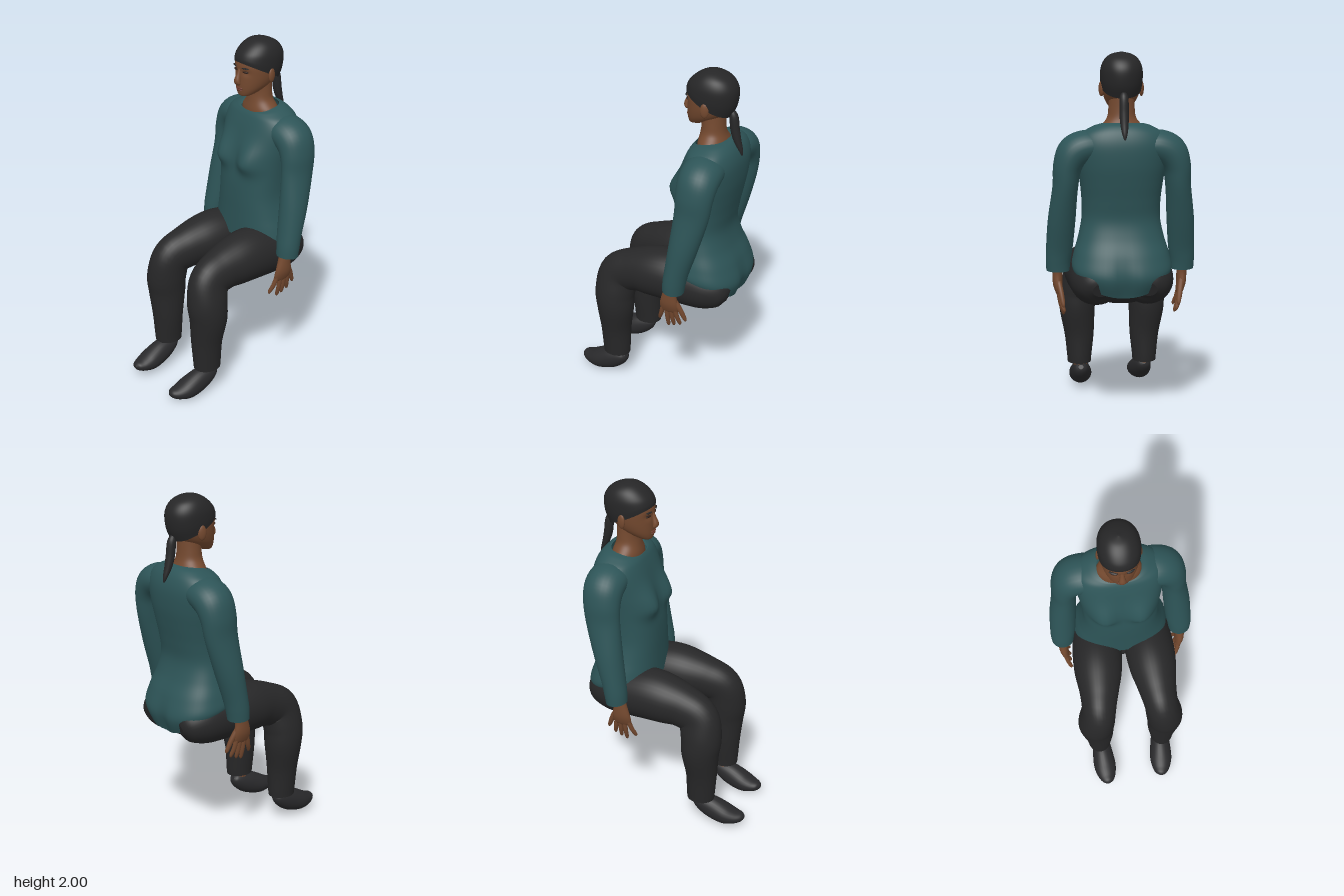
import * as THREE from 'three';

const material = (name, color, extra = {}) => {
  const m = new THREE.MeshStandardMaterial({ color, ...extra });
  m.name = name;
  return m;
};

// Catmull-Rom interpolation over rows of numbers
function smooth(rows, n) {
  const out = [], at = i => rows[Math.min(Math.max(i, 0), rows.length - 1)];
  for (let i = 0; i < rows.length - 1; i++) {
    for (let k = 0; k < n; k++) {
      const t = k / n;
      out.push(rows[i].map((_, c) => {
        const [a, b, d, e] = [at(i - 1)[c], at(i)[c], at(i + 1)[c], at(i + 2)[c]];
        return b + 0.5 * t * (d - a + t * (2 * a - 5 * b + 4 * d - e + t * (3 * (b - d) + e - a)));
      }));
    }
  }
  out.push(rows[rows.length - 1]);
  return out;
}

// Skin a list of closed rings of points; capped ends get a crisp rim
function skin(rings, cap = true) {
  const seg = rings[0].length;
  if (cap) {
    const flat = r => {
      const c = r.reduce((a, p) => a.add(p), new THREE.Vector3()).divideScalar(seg);
      return r.map(() => c);
    };
    const first = rings[0], last = rings[rings.length - 1];
    rings = [flat(first), first, ...rings, last, flat(last)];
  }
  const pos = rings.flat().flatMap(p => [p.x, p.y, p.z]), index = [];
  for (let i = 0; i < rings.length - 1; i++) {
    for (let j = 0; j < seg; j++) {
      const a = i * seg + j, b = i * seg + (j + 1) % seg;
      index.push(a, b, a + seg, b, b + seg, a + seg);
    }
  }
  const g = new THREE.BufferGeometry();
  g.setAttribute('position', new THREE.Float32BufferAttribute(pos, 3));
  g.setIndex(index);
  g.computeVertexNormals();
  return g;
}

// Upright form from rows [yFront, yBack, halfWidth, zFront, zBack, slopePower]
function upright(rows, { e = 2, seg = 56, n = 6, cap = true, shape = () => {} } = {}) {
  const pw = v => Math.sign(v) * Math.abs(v) ** (2 / e);
  return skin(smooth(rows, n).map(([yF, yB, w, zF, zB, p]) =>
    Array.from({ length: seg }, (_, j) => {
      const th = j / seg * Math.PI * 2, c = pw(Math.cos(th));
      const y = yB + (yF - yB) * ((c + 1) / 2) ** p;
      const v = new THREE.Vector3(w * pw(Math.sin(th)), y, (zF + zB) / 2 + c * (zF - zB) / 2);
      shape(v, c);
      return v;
    })), cap);
}

// Limb along a path of rows [x, y, z, radius along ref, other radius]
function limb(rows, ref, side = 1, seg = 28, n = 6) {
  const pts = smooth(rows.map(([x, ...r]) => [x * side, ...r]), n);
  const P = pts.map(r => new THREE.Vector3(r[0], r[1], r[2]));
  return skin(pts.map((r, i) => {
    const T = P[Math.min(i + 1, P.length - 1)].clone().sub(P[Math.max(i - 1, 0)]).normalize();
    const u = ref.clone().addScaledVector(T, -ref.dot(T)).normalize();
    const v = T.clone().cross(u);
    return Array.from({ length: seg }, (_, j) => {
      const th = j / seg * Math.PI * 2;
      return P[i].clone().addScaledVector(u, Math.cos(th) * r[3]).addScaledVector(v, Math.sin(th) * r[4]);
    });
  }));
}

export function createModel() {
  const root = new THREE.Group();
  root.name = 'seatedWoman';
  const X = new THREE.Vector3(1, 0, 0), Z = new THREE.Vector3(0, 0, 1);
  const skinMat = material('skin', 0x74492f), hair = material('hair', 0x262627);
  const shirt = material('shirt', 0x2d5457, { side: THREE.DoubleSide });
  const pants = material('trousers', 0x272728), shoe = material('shoes', 0x29292b);
  const lips = material('lips', 0x68392b), eye = material('eyes', 0x2e1d16);

  const add = (name, geo, mat) => {
    const m = new THREE.Mesh(geo, mat);
    m.name = name;
    root.add(m);
    return m;
  };
  const blob = (name, mat, c, r) => {
    const m = add(name, new THREE.SphereGeometry(1, 28, 18), mat);
    m.position.set(...c);
    m.scale.set(...r);
    return m;
  };
  const bump = (d, s) => Math.exp(-((d / s) ** 2));

  // Sweater body, with bust and seat shaped in
  add('sweaterBody', upright([
    [0.85, 0.69, 0.245, -0.085, -0.465, 0.6],
    [0.88, 0.79, 0.272, -0.085, -0.495, 0.7],
    [0.93, 0.90, 0.26, -0.085, -0.465, 1],
    [1.0, 1.0, 0.235, -0.085, -0.42, 1],
    [1.1, 1.1, 0.215, -0.085, -0.397, 1],
    [1.2, 1.2, 0.215, -0.09, -0.41, 1],
    [1.3, 1.3, 0.225, -0.108, -0.43, 1],
    [1.4, 1.4, 0.24, -0.125, -0.447, 1],
    [1.5, 1.5, 0.25, -0.15, -0.45, 1],
    [1.56, 1.57, 0.225, -0.172, -0.432, 1],
    [1.585, 1.612, 0.165, -0.187, -0.40, 1.5],
    [1.588, 1.625, 0.12, -0.192, -0.365, 2],
  ], {
    e: 2.4, cap: false, shape: (v, c) => {
      if (c > 0) v.z += 0.058 * c * bump(Math.abs(v.x) - 0.115, 0.08) * bump(v.y - 1.315, v.y < 1.315 ? 0.06 : 0.11);
      else v.z -= 0.025 * c * bump(v.x, 0.045) * bump(v.y - 0.74, 0.13);
    },
  }), shirt);

  // Hips joining the thighs
  blob('hips', pants, [0, 0.775, -0.28], [0.25, 0.14, 0.185]);

  for (const s of [1, -1]) {
    const side = s > 0 ? 'left' : 'right';
    // Sleeve
    add(side + 'Sleeve', limb([
      [0.13, 1.5, -0.31, 0.11, 0.08], [0.20, 1.495, -0.313, 0.115, 0.092],
      [0.26, 1.462, -0.315, 0.112, 0.094], [0.295, 1.39, -0.312, 0.106, 0.078],
      [0.307, 1.28, -0.302, 0.098, 0.069], [0.325, 1.1, -0.268, 0.082, 0.075],
      [0.336, 0.95, -0.236, 0.068, 0.073], [0.343, 0.87, -0.222, 0.064, 0.068],
      [0.344, 0.812, -0.216, 0.06, 0.064],
    ], Z, s), shirt);
    // Hand with spread fingers and thumb
    add(side + 'Palm', limb([
      [0.345, 0.85, -0.205, 0.036, 0.03], [0.346, 0.79, -0.195, 0.04, 0.028],
      [0.345, 0.73, -0.19, 0.052, 0.026], [0.337, 0.685, -0.187, 0.054, 0.02],
      [0.333, 0.665, -0.187, 0.042, 0.013],
    ], Z, s, 20), skinMat);
    [
      [-0.15, 0.69, -0.118, 0.58], [-0.173, 0.68, -0.172, 0.55],
      [-0.2, 0.68, -0.205, 0.56], [-0.222, 0.69, -0.242, 0.575],
    ].forEach(([z0, y0, z1, y1], i) => add(`${side}Finger${i + 1}`, limb([
      [0.338, y0, z0, 0.014, 0.014], [0.328, (y0 + y1) / 2, (z0 + z1) / 2, 0.0125, 0.0125],
      [0.314, y1 + 0.015, z1, 0.01, 0.01], [0.311, y1, z1, 0.003, 0.003],
    ], Z, s, 12, 4), skinMat));
    add(side + 'Thumb', limb([
      [0.342, 0.75, -0.215, 0.02, 0.016], [0.33, 0.69, -0.25, 0.016, 0.015],
      [0.32, 0.63, -0.275, 0.011, 0.011], [0.318, 0.612, -0.279, 0.003, 0.003],
    ], Z, s, 12, 4), skinMat);

    // Trouser leg from seat, over the knee, to the hem
    add(side + 'TrouserLeg', limb([
      [0.125, 0.74, -0.455, 0.05, 0.04], [0.13, 0.75, -0.42, 0.105, 0.095],
      [0.138, 0.765, -0.33, 0.14, 0.135], [0.148, 0.775, -0.2, 0.143, 0.148],
      [0.156, 0.783, -0.08, 0.144, 0.152], [0.162, 0.775, 0.02, 0.136, 0.144],
      [0.17, 0.757, 0.12, 0.115, 0.127], [0.183, 0.712, 0.212, 0.1, 0.122],
      [0.2, 0.6, 0.238, 0.107, 0.118], [0.205, 0.5, 0.235, 0.104, 0.11],
      [0.194, 0.35, 0.24, 0.087, 0.091], [0.194, 0.21, 0.238, 0.072, 0.083],
      [0.194, 0.172, 0.238, 0.069, 0.08],
    ], X, s, 36), pants);
    add(side + 'Ankle', limb([
      [0.19, 0.24, 0.235, 0.042, 0.046], [0.188, 0.17, 0.238, 0.04, 0.046], [0.186, 0.12, 0.245, 0.04, 0.045],
    ], X, s, 20), skinMat);
    // Shoe, heel raised and toe down
    const foot = add(side + 'Shoe', limb([
      [0.188, 0.148, 0.192, 0.015, 0.014], [0.187, 0.14, 0.205, 0.036, 0.034],
      [0.186, 0.122, 0.24, 0.05, 0.054], [0.183, 0.095, 0.30, 0.061, 0.067],
      [0.178, 0.065, 0.38, 0.067, 0.06], [0.172, 0.057, 0.44, 0.055, 0.04],
      [0.166, 0.06, 0.48, 0.034, 0.024], [0.163, 0.061, 0.495, 0.01, 0.008],
    ], X, s), shoe);
    foot.position.set(0, s > 0 ? -0.002 : 0.015, s > 0 ? -0.012 : 0.004);

    // Ear, eye and brow
    blob(side + 'Ear', skinMat, [s * 0.108, 1.805, -0.272], [0.013, 0.042, 0.024]).rotation.y = s * 0.3;
    blob(side + 'Eye', eye, [s * 0.042, 1.828, -0.142], [0.019, 0.006, 0.008]).rotation.y = s * 0.3;
    blob(side + 'Brow', hair, [s * 0.045, 1.851, -0.137], [0.024, 0.004, 0.007]).rotation.y = s * 0.35;
  }

  // Neck spreading into the collar
  add('neck', upright([
    [1.56, 1.58, 0.125, -0.198, -0.37, 1], [1.595, 1.61, 0.115, -0.2, -0.36, 1],
    [1.645, 1.65, 0.08, -0.208, -0.347, 1], [1.7, 1.7, 0.071, -0.212, -0.342, 1],
    [1.78, 1.78, 0.068, -0.2, -0.342, 1],
  ]), skinMat);

  // Head with shallow eye sockets
  add('head', upright([
    [1.68, 1.69, 0.028, -0.15, -0.21, 1], [1.688, 1.705, 0.05, -0.138, -0.25, 1],
    [1.715, 1.73, 0.073, -0.132, -0.3, 1], [1.75, 1.76, 0.09, -0.13, -0.345, 1],
    [1.8, 1.8, 0.102, -0.13, -0.375, 1], [1.86, 1.86, 0.107, -0.128, -0.395, 1],
    [1.92, 1.92, 0.1, -0.15, -0.39, 1], [1.97, 1.97, 0.06, -0.2, -0.34, 1],
  ], {
    e: 2.15, shape: (v, c) => {
      if (c > 0) v.z -= 0.01 * bump(Math.abs(v.x) - 0.042, 0.025) * bump(v.y - 1.826, 0.018);
    },
  }), skinMat);
  add('nose', limb([
    [0, 1.85, -0.14, 0.011, 0.01], [0, 1.81, -0.129, 0.013, 0.014],
    [0, 1.775, -0.118, 0.02, 0.017], [0, 1.758, -0.122, 0.021, 0.011], [0, 1.753, -0.128, 0.01, 0.006],
  ], X, 1, 20), skinMat);
  blob('upperLip', lips, [0, 1.731, -0.133], [0.027, 0.006, 0.011]);
  blob('lowerLip', lips, [0, 1.72, -0.134], [0.023, 0.007, 0.011]);

  // Close hair cap and ponytail
  add('hairCap', upright([
    [1.88, 1.755, 0.109, -0.125, -0.378, 1], [1.9, 1.82, 0.114, -0.126, -0.405, 1],
    [1.93, 1.9, 0.111, -0.141, -0.411, 1], [1.965, 1.955, 0.091, -0.177, -0.382, 1],
    [1.99, 1.986, 0.055, -0.22, -0.33, 1], [2.0, 2.0, 0.004, -0.268, -0.278, 1],
  ], { e: 2.1 }), hair);
  add('ponytail', limb([
    [0, 1.79, -0.375, 0.012, 0.012], [0, 1.755, -0.392, 0.024, 0.024], [0, 1.68, -0.402, 0.025, 0.025],
    [0, 1.62, -0.418, 0.022, 0.02], [0, 1.57, -0.438, 0.014, 0.012], [0, 1.54, -0.447, 0.004, 0.004],
  ], X, 1, 18), hair);

  return root;
}
